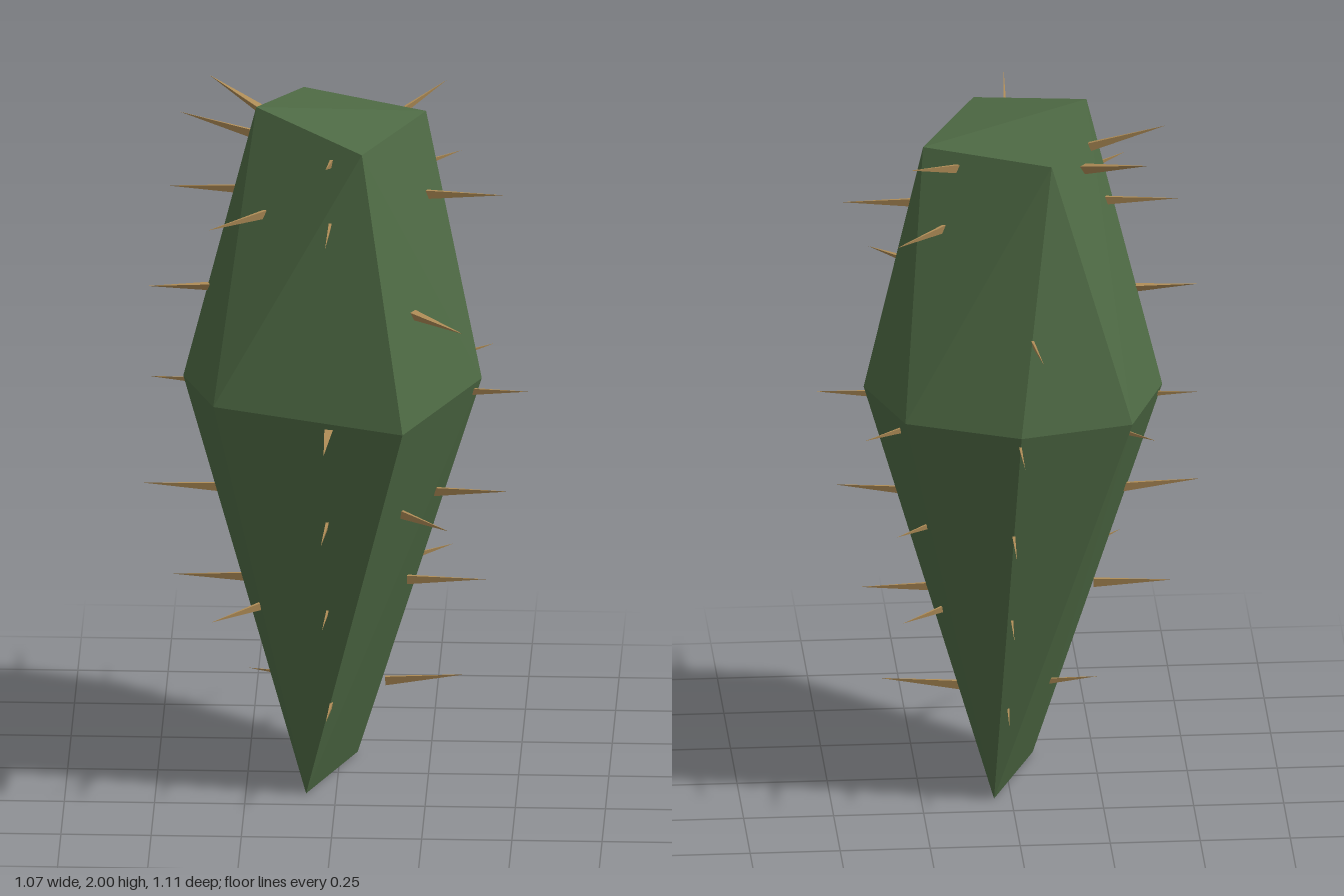
import * as THREE from 'three';
import { ConvexGeometry } from 'three/addons/geometries/ConvexGeometry.js';

const green = new THREE.MeshStandardMaterial({ color: 0x4f6b45 });
green.name = 'cactusGreen';
const tan = new THREE.MeshStandardMaterial({ color: 0xb08d57 });
tan.name = 'spineTan';

// Faceted body: crown, widest ring and wedge-shaped foot
function makeBody() {
  const points = [
    // crown
    [-0.225, 2.0, 0.065], [0.075, 1.935, 0.255], [0.24, 1.935, -0.09], [-0.105, 1.935, -0.26],
    // widest ring
    [0.193, 1.16, 0.4], [0.398, 1.18, 0.005], [0.305, 1.197, -0.31], [-0.01, 1.186, -0.415],
    [-0.325, 1.18, -0.32], [-0.43, 1.17, -0.01], [-0.335, 1.2, 0.305],
    // foot edge
    [-0.083, 0, 0.164], [0.048, 0, -0.16],
  ].map((p) => new THREE.Vector3(...p));
  const body = new THREE.Mesh(new ConvexGeometry(points), green);
  body.name = 'body';
  return body;
}

// Spine: a thin upright three-sided thorn whose root sits inside the body
const thorn = new THREE.ConeGeometry(1, 1, 3).toNonIndexed();
thorn.translate(0, 0.5, 0);
thorn.rotateX(Math.PI / 2); // tip along +z
thorn.computeVertexNormals();

function makeSpine(x, y, z, rise, thick) {
  const spine = new THREE.Mesh(thorn, tan);
  const length = 0.22;
  const reach = Math.hypot(x, z);
  const k = 1 - length / reach;
  spine.position.set(x * k, y - rise, z * k);
  spine.lookAt(x, y, z);
  spine.scale.set(thick ? 0.016 : 0.006, 0.018, Math.hypot(length, rise));
  spine.name = 'spine';
  return spine;
}

// Each row: tip height, rise from root to tip, tips as [x, z, thick]
const rows = [
  [0.3, 0.02, [[-0.02, 0.39], [0.35, 0.01], [-0.25, -0.02], [0.02, -0.36]]],
  [0.58, 0, [[-0.03, 0.41], [0.41, 0], [-0.46, -0.01], [0.01, -0.42], [0.31, -0.27], [-0.34, 0.36]]],
  [0.865, 0.01, [[-0.03, 0.5], [0.475, 0.06], [-0.54, 0.03], [0.01, -0.52], [0.33, -0.33], [0.32, 0.37]]],
  [1.155, 0.005, [[-0.02, 0.55, 1], [0.53, 0.04], [-0.525, -0.04], [-0.01, -0.56], [0.42, -0.325], [-0.385, -0.38]]],
  [1.45, 0, [[-0.53, 0.03, 1], [0.36, 0.365, 1], [-0.065, -0.52]]],
  [1.73, 0, [[-0.02, 0.45], [0.46, 0.02], [-0.475, -0.02], [-0.35, 0.32], [0.33, -0.32]]],
  [1.95, 0.06, [[-0.02, 0.41], [-0.44, -0.02], [0.29, -0.29], [-0.37, -0.305, 1]]],
];

export function createModel() {
  const model = new THREE.Group();
  model.name = 'cactus';
  model.add(makeBody());
  const spines = new THREE.Group();
  spines.name = 'spines';
  for (const [y, rise, tips] of rows) {
    for (const [x, z, thick] of tips) spines.add(makeSpine(x, y, z, rise, thick));
  }
  model.add(spines);
  return model;
}
